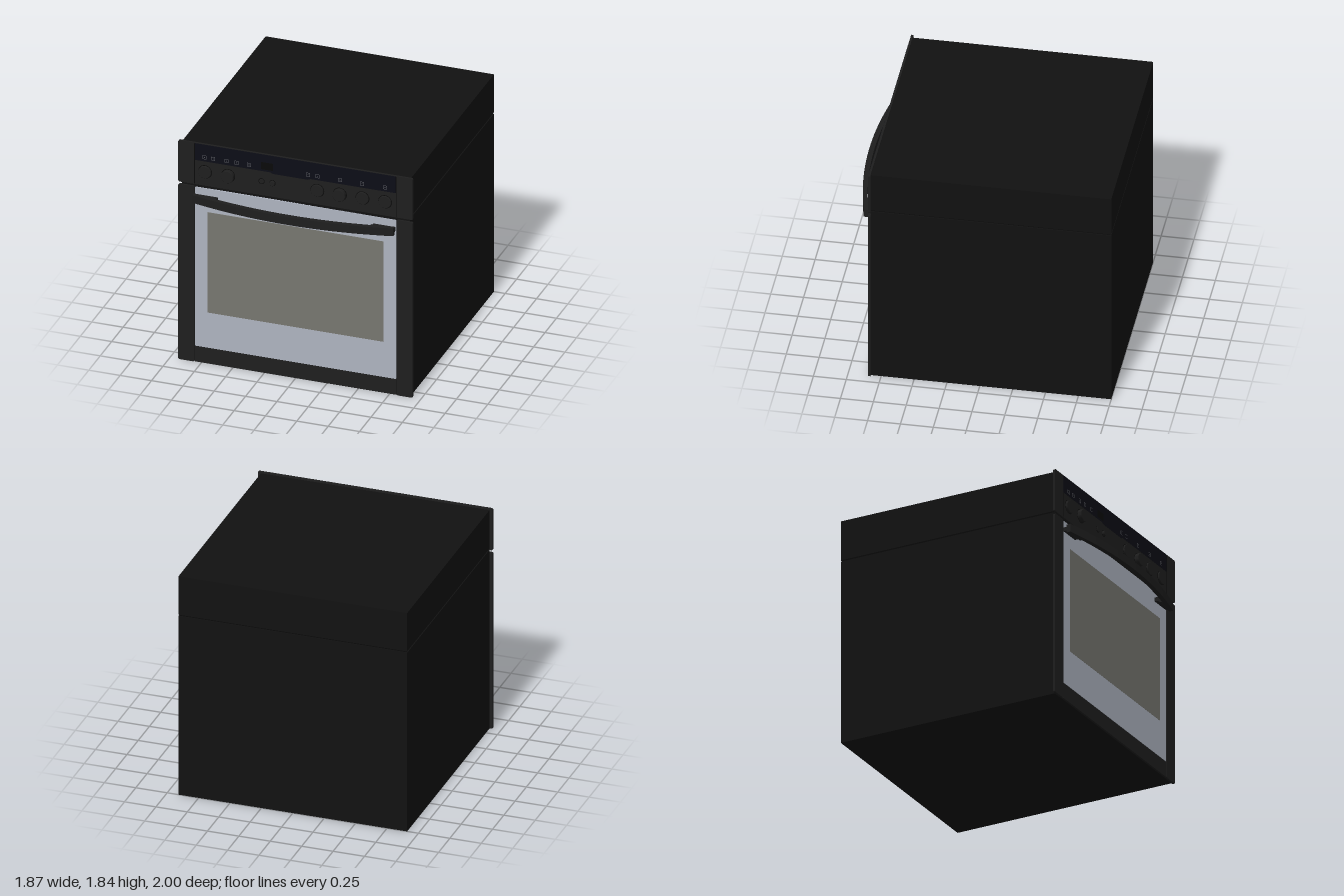
import * as THREE from 'three';
import { toCreasedNormals } from 'three/addons/utils/BufferGeometryUtils.js';

const mat = (color) => new THREE.MeshStandardMaterial({ color });
const BODY = mat(0x111111), TRIM = mat(0x1e1e1e), SEAM = mat(0x090909), NAVY = mat(0x0c0d16);
const GLASS = mat(0xaeb4c0), WINDOW = mat(0x777770), ICON = mat(0x55565c);

export function createModel() {
  const root = new THREE.Group();

  const add = (parent, name, geometry, material) => {
    const mesh = new THREE.Mesh(geometry, material);
    mesh.name = name;
    parent.add(mesh);
    return mesh;
  };
  const group = (name) => {
    const g = new THREE.Group();
    g.name = name;
    root.add(g);
    return g;
  };
  // Box given by its limits on each axis
  const box = (parent, name, material, x0, x1, y0, y1, z0, z1) =>
    add(parent, name, new THREE.BoxGeometry(x1 - x0, y1 - y0, z1 - z0), material)
      .position.set((x0 + x1) / 2, (y0 + y1) / 2, (z0 + z1) / 2);
  const roundRect = (x0, x1, y0, y1, r) => {
    const s = new THREE.Shape();
    s.absarc(x1 - r, y0 + r, r, -Math.PI / 2, 0);
    s.absarc(x1 - r, y1 - r, r, 0, Math.PI / 2);
    s.absarc(x0 + r, y1 - r, r, Math.PI / 2, Math.PI);
    s.absarc(x0 + r, y0 + r, r, Math.PI, Math.PI * 1.5);
    s.closePath();
    return s;
  };
  // Thin plate with rounded corners
  const plate = (parent, name, material, x0, x1, y0, y1, z0, z1) => {
    const g = new THREE.ExtrudeGeometry(roundRect(x0, x1, y0, y1, 0.012),
      { depth: z1 - z0, bevelEnabled: false, curveSegments: 5 });
    add(parent, name, g.translate(0, 0, z0), material);
  };

  // Cabinet: two shells with a narrow groove between them
  const cabinet = group('cabinet');
  box(cabinet, 'lowerShell', BODY, -0.91, 0.91, 0, 1.497, -1, 0.83);
  box(cabinet, 'grooveCore', SEAM, -0.902, 0.902, 1.49, 1.515, -0.992, 0.83);
  box(cabinet, 'upperShell', BODY, -0.91, 0.91, 1.508, 1.83, -1, 0.83);

  // Door: side posts, bottom rail, glass and window
  const door = group('door');
  for (const s of [-1, 1]) {
    plate(door, 'sidePost', TRIM, s * 0.87 - 0.065, s * 0.87 + 0.065, 0, 1.475, 0.828, 0.846);
  }
  box(door, 'doorBacking', SEAM, -0.81, 0.81, 0.005, 1.47, 0.826, 0.834);
  box(door, 'bottomRail', TRIM, -0.802, 0.802, 0.002, 0.128, 0.83, 0.844);
  box(door, 'glass', GLASS, -0.8, 0.8, 0.133, 1.47, 0.83, 0.842);
  box(door, 'window', WINDOW, -0.7, 0.7, 0.43, 1.275, 0.835, 0.8435);

  // Control panel with a dark upper display band
  const panel = group('controlPanel');
  plate(panel, 'fascia', TRIM, -0.935, 0.935, 1.495, 1.843, 0.828, 0.844);
  const band = new THREE.Shape([
    [-0.8, 1.84], [-0.8, 1.7], [-0.2, 1.7], [-0.18, 1.69], [0.1, 1.69], [0.12, 1.7],
    [0.8, 1.7], [0.8, 1.84]].map(([x, y]) => new THREE.Vector2(x, y)));
  add(panel, 'displayBand', new THREE.ExtrudeGeometry(band, { depth: 0.002, bevelEnabled: false })
    .translate(0, 0, 0.8435), NAVY);
  for (const s of [-1, 1]) {
    box(panel, 'fasciaSeam', SEAM, s * 0.804 - 0.003, s * 0.804 + 0.003, 1.5, 1.838, 0.84, 0.8446);
  }
  box(panel, 'clockDisplay', SEAM, -0.275, -0.18, 1.715, 1.775, 0.845, 0.8462);

  // Symbol frames above the knobs
  for (const x of [-0.725, -0.655, -0.55, -0.47, -0.37, 0.1, 0.175, 0.355, 0.53, 0.715]) {
    const frame = roundRect(x - 0.016, x + 0.016, 1.718, 1.75, 0.003);
    frame.holes.push(roundRect(x - 0.012, x + 0.012, 1.722, 1.746, 0.002));
    add(panel, 'symbolFrame', new THREE.ShapeGeometry(frame, 2).translate(0, 0, 0.8465), ICON);
    add(panel, 'symbolDot', new THREE.CircleGeometry(0.004, 10).translate(x, 1.733, 0.8465), ICON);
  }

  // Push-in knobs, [x, radius, front z], each in a dark ring
  const knobs = [[-0.72, 0.05, 0.86], [-0.535, 0.05, 0.877], [-0.27, 0.02, 0.85], [-0.182, 0.02, 0.863],
    [0.175, 0.05, 0.857], [0.355, 0.05, 0.877], [0.535, 0.05, 0.857], [0.715, 0.05, 0.857]];
  for (const [x, r, z] of knobs) {
    const knob = new THREE.Group();
    knob.name = 'knob';
    knob.position.set(x, 1.613, 0);
    panel.add(knob);
    const c = 0.003;
    const profile = [[r, 0.84], [r, z - c], [r - c, z], [0, z]].map(([a, b]) => new THREE.Vector2(a, b));
    const cap = new THREE.LatheGeometry(profile, 32).rotateX(Math.PI / 2);
    add(knob, 'knobCap', toCreasedNormals(cap, 0.5), TRIM);
    add(knob, 'knobRing', new THREE.RingGeometry(r, r + 0.005, 32).translate(0, 0, 0.8448), SEAM);
  }

  // Handle: bowed bar on two tapered brackets
  const handle = group('handle');
  const bow = new THREE.Shape();
  bow.moveTo(-0.8, 0.868);
  bow.quadraticCurveTo(0, 1.052, 0.8, 0.868);
  bow.lineTo(0.8, 0.902);
  bow.quadraticCurveTo(0, 1.096, -0.8, 0.902);
  bow.closePath();
  const bar = new THREE.ExtrudeGeometry(bow, { depth: 0.065, bevelEnabled: false, curveSegments: 28 });
  add(handle, 'handleBar', toCreasedNormals(bar.rotateX(Math.PI / 2).translate(0, 1.43, 0), 0.5), TRIM);
  const foot = new THREE.Shape([
    [0.84, 1.382], [0.868, 1.382], [0.89, 1.366], [0.9, 1.366], [0.9, 1.429], [0.89, 1.429],
    [0.868, 1.413], [0.84, 1.413]].map(([z, y]) => new THREE.Vector2(z, y)));
  for (const s of [-1, 1]) {
    const g = new THREE.ExtrudeGeometry(foot, { depth: 0.178, bevelEnabled: false });
    add(handle, 'handleBracket', g.rotateY(-Math.PI / 2).translate(s * 0.709 + 0.089, 0, 0), TRIM);
  }
  return root;
}
